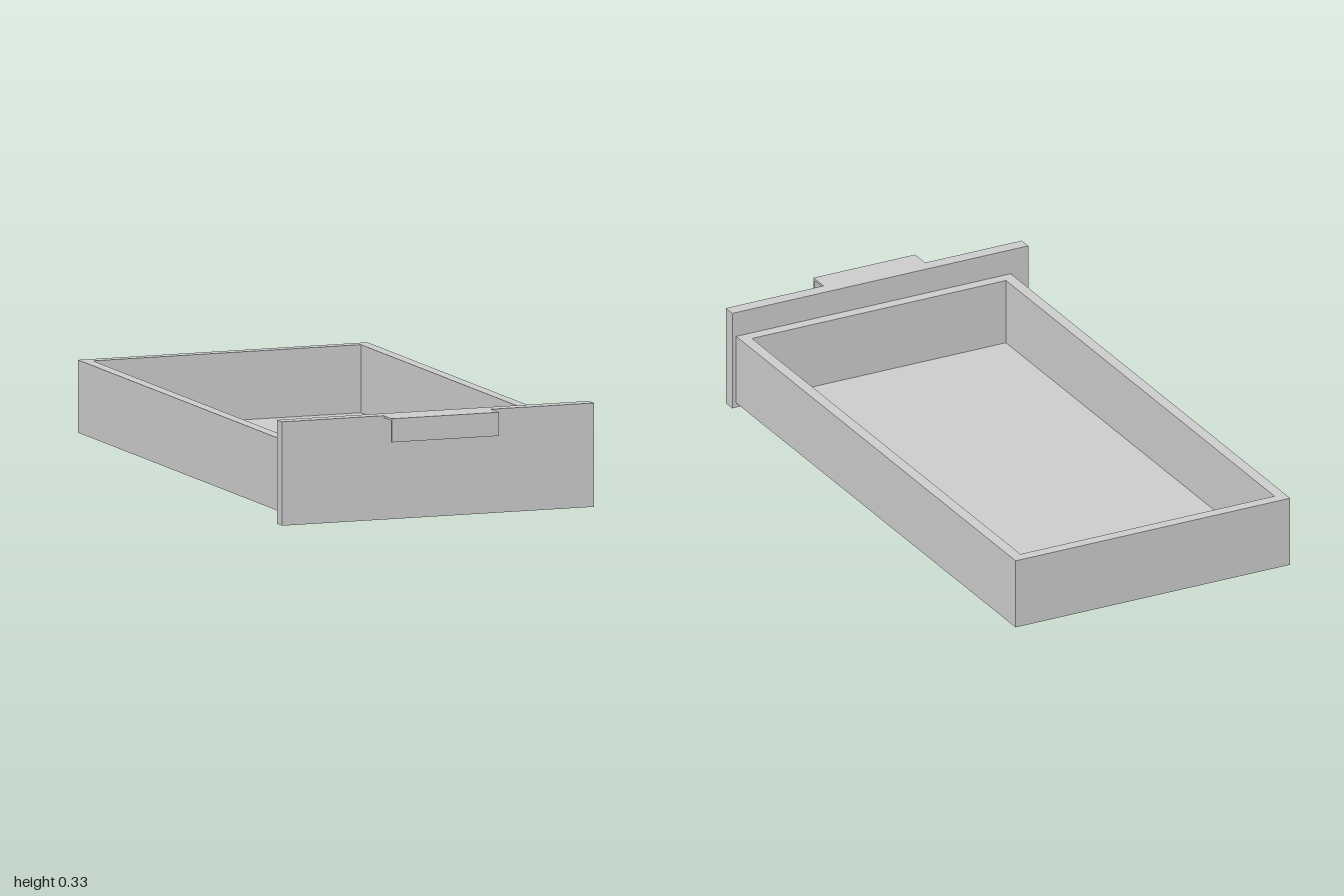
import * as THREE from 'three';

const material = new THREE.MeshStandardMaterial({ color: 0xcccccc });

// Rectangle outline from its corner coordinates
function rectangle(Type, x0, y0, x1, y1) {
  return new Type([[x0, y0], [x1, y0], [x1, y1], [x0, y1]].map(([x, y]) => new THREE.Vector2(x, y)));
}

// Box mesh spanning two opposite corners
function block(name, [x0, y0, z0], [x1, y1, z1]) {
  const mesh = new THREE.Mesh(new THREE.BoxGeometry(x1 - x0, y1 - y0, z1 - z0), material);
  mesh.position.set((x0 + x1) / 2, (y0 + y1) / 2, (z0 + z1) / 2);
  mesh.name = name;
  return mesh;
}

export function createModel() {
  const model = new THREE.Group();
  model.name = 'drawer';

  const left = 0.519, right = -0.47, back = -1, front = 0.888;
  const wall = 0.037, bottom = 0.016, floorTop = 0.031, top = 0.25;

  // Four walls as one frame, extruded upwards (shape y becomes -z)
  const frame = rectangle(THREE.Shape, right, -front, left, -back);
  frame.holes.push(rectangle(THREE.Path, right + wall, -front + wall, left - wall, -back - wall));
  const frameGeometry = new THREE.ExtrudeGeometry(frame, { depth: top - bottom, bevelEnabled: false });
  frameGeometry.rotateX(-Math.PI / 2).translate(0, bottom, 0);
  const walls = new THREE.Mesh(frameGeometry, material);
  walls.name = 'walls';
  model.add(walls);

  // Floor panel set between the walls
  model.add(block('floor', [right + wall, bottom, back + wall], [left - wall, floorTop, front - wall]));

  // Overhanging front panel
  model.add(block('frontPanel', [-0.533, 0, front], [0.533, 0.334, 0.932]));

  // Thin hooked pull: profile in (z, y), extruded across x
  const profile = new THREE.Shape([
    [0.932, 0.334], [0.932, 0.327], [0.993, 0.327], [0.993, 0.258], [1, 0.258], [1, 0.334],
  ].map(([z, y]) => new THREE.Vector2(-z, y)));
  const pullGeometry = new THREE.ExtrudeGeometry(profile, { depth: 0.366, bevelEnabled: false });
  pullGeometry.rotateY(Math.PI / 2).translate(-0.185, 0, 0);
  const pull = new THREE.Mesh(pullGeometry, material);
  pull.name = 'handle';
  model.add(pull);

  return model;
}
